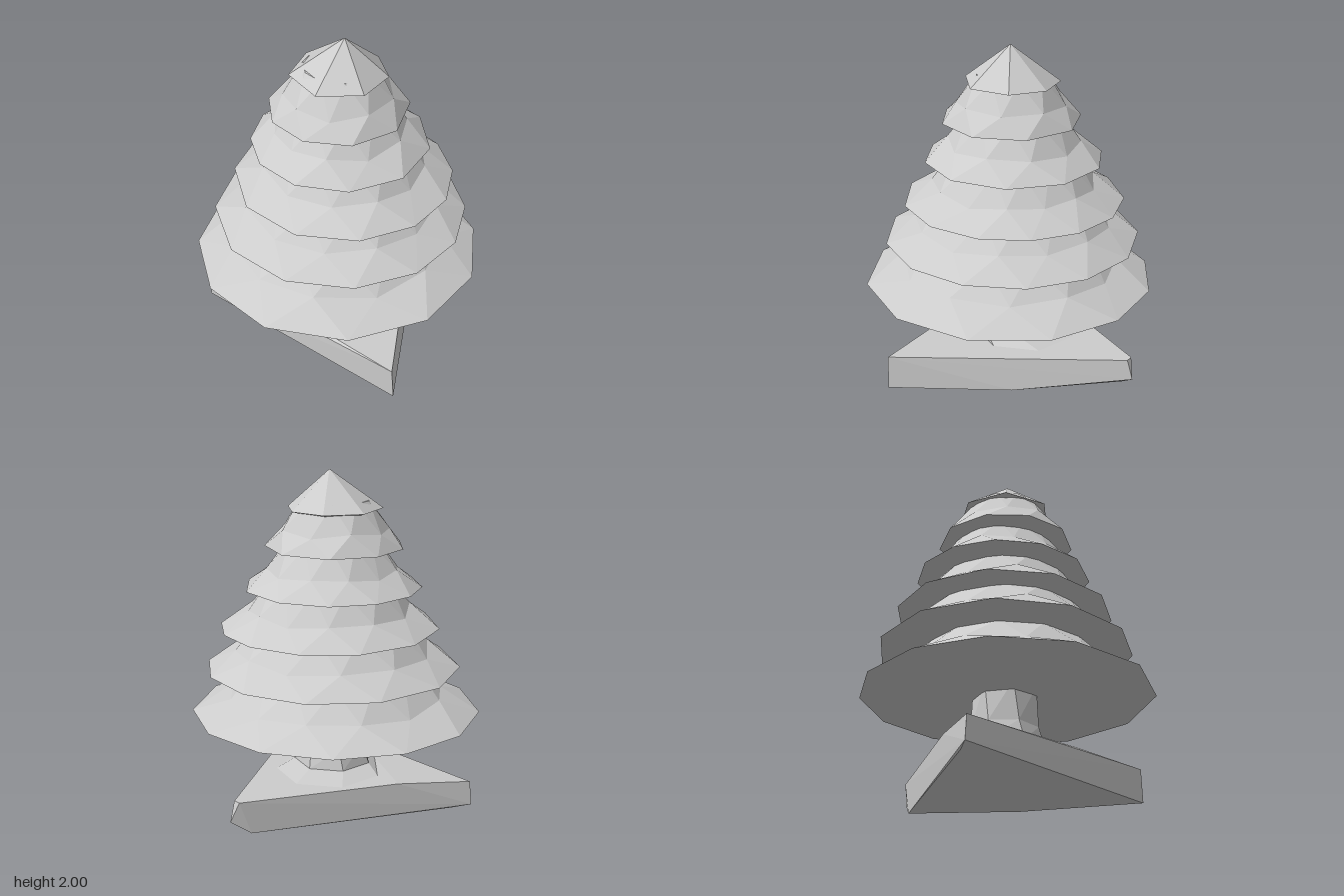
import * as THREE from 'three';
import { ConvexGeometry } from 'three/addons/geometries/ConvexGeometry.js';

const V = (x, y, z) => new THREE.Vector3(x, y, z);
const rad = THREE.MathUtils.degToRad;

// Ring of n points around (x, z), turned by an angle in degrees;
// the points crowd towards one side by an amount and direction, also in degrees
const ring = (n, r, y, turn, x, z, crowd = 0, side = 0) => Array.from({ length: n }, (_, i) => {
  const even = i / n * Math.PI * 2 + rad(turn);
  const a = even + rad(crowd) * Math.cos(even - rad(side));
  return V(x + Math.cos(a) * r, y, z + Math.sin(a) * r);
});

// Join rings of equal length, listed from the bottom up, into a faceted skin
function loft(rings) {
  const points = [];
  const tri = (a, b, c) => {
    if (new THREE.Triangle(a, b, c).getArea() > 1e-7) points.push(a, b, c);
  };
  for (let r = 0; r < rings.length - 1; r++) {
    const a = rings[r], b = rings[r + 1];
    a.forEach((p, i) => {
      const j = (i + 1) % a.length;
      tri(p, b[i], a[j]);
      tri(a[j], b[i], b[j]);
    });
  }
  const g = new THREE.BufferGeometry().setFromPoints(points);
  g.computeVertexNormals();
  return g;
}

// Foliage: sides, rim radius, rim height, underside drop, turn, centre x and z, crowding,
// then waist and neck size relative to the rim
const TIERS = [
  [12, 0.864, 0.558, 0.015, 18, 0, 0, 5, 195, 0.75, 0.56],
  [12, 0.757, 0.835, 0.03, -8, 0.02, -0.01, 6, 300, 0.77, 0.57],
  [12, 0.65, 1.08, 0.04, -7, 0.04, -0.01, 9, 278, 0.74, 0.55],
  [11, 0.525, 1.322, 0.037, 2, 0.025, -0.02, 8, 133, 0.74, 0.51],
  [9, 0.41, 1.556, 0.037, 16, 0.01, -0.01, 6, 96, 0.78, 0.5],
  [7, 0.283, 1.777, 0.04, 38, 0.01, -0.01, 7, 245],
];

// A skirt with a sagging underside; upper rings turn by half a side each
function tierGeometry([n, r, y, drop, turn, x, z, crowd, side, waist, neck]) {
  const half = 180 / n;
  const at = (size, h, steps) => ring(n, r * size, h, turn + half * steps, x, z, crowd, side);
  const rings = [at(0, y - drop, 0), at(0.5, y - drop, 0), at(1, y, 0)];
  if (waist) {
    const middle = at(waist, y + 0.105, 1);
    middle.forEach((p, i) => { p.y += 0.015 * Math.sin(i * 2.4); });
    rings.push(middle, at(neck, y + 0.27, 2), at(0, y + 0.27, 2));
  } else {
    rings.push(ring(n, 0, 2, turn, 0.035, 0.01));
  }
  return loft(rings);
}

// Seven-sided trunk flaring into the slab: radius, height, turn, centre x and z
function trunkGeometry() {
  return loft([
    [0.34, 0.19, 15, 0.08, -0.1],
    [0.235, 0.235, 15, 0.02, -0.01],
    [0.2, 0.36, 19, 0.02, -0.01],
    [0.195, 0.6, 30, 0.03, 0],
  ].map(([r, y, turn, x, z]) => ring(7, r, y, turn, x, z)));
}

// Rough three-cornered slab with chipped corners
function slabGeometry() {
  return new ConvexGeometry([
    V(0.01, 0.2, 0.82), V(0.02, 0, 0.83),
    V(0.72, 0.2, -0.4), V(0.75, 0.08, -0.42), V(0.7, 0.2, -0.44), V(0.63, 0, -0.43), V(0.4, 0, 0.2),
    V(-0.71, 0.155, -0.43), V(-0.72, 0.01, -0.44), V(-0.6, 0, -0.43),
    V(-0.25, 0.2, -0.44), V(-0.25, 0.2, 0.33),
  ]);
}

export function createModel() {
  const grey = new THREE.MeshStandardMaterial({ color: 0xcccccc });
  grey.name = 'paleGrey';
  grey.flatShading = true;
  const model = new THREE.Group();
  model.name = 'lowPolyTree';
  const add = (name, geometry) => {
    const mesh = new THREE.Mesh(geometry, grey);
    mesh.name = name;
    model.add(mesh);
  };
  add('groundSlab', slabGeometry());
  add('trunk', trunkGeometry());
  TIERS.forEach((tier, i) => add('foliageTier' + (i + 1), tierGeometry(tier)));
  return model;
}
